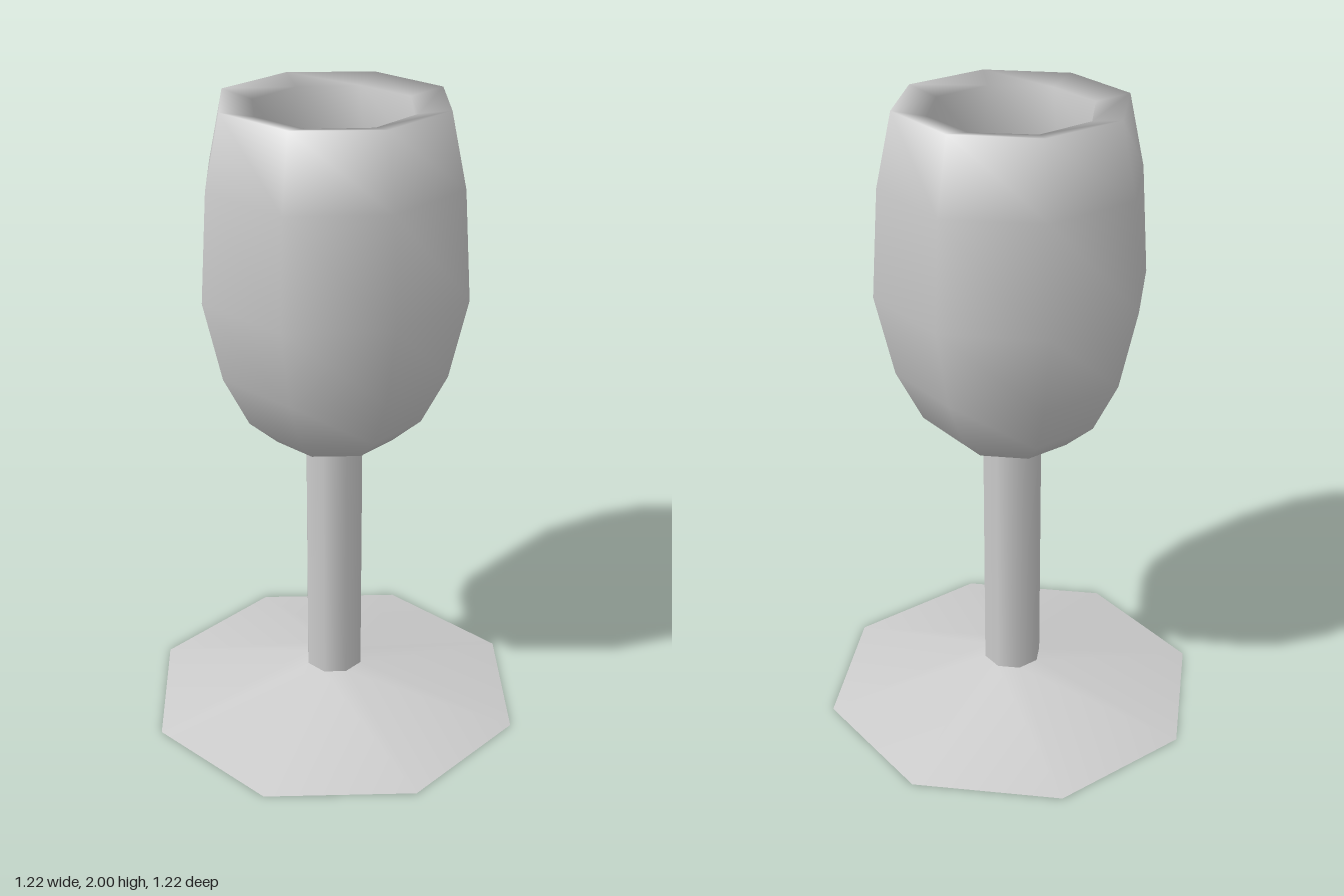
import * as THREE from 'three';

const SIDES = 8;

export function createModel() {
  const model = new THREE.Group();
  const grey = new THREE.MeshStandardMaterial({ color: 0xcccccc });
  grey.name = 'grey';

  const add = (name, geometry) => {
    const mesh = new THREE.Mesh(geometry, grey);
    mesh.name = name;
    model.add(mesh);
  };
  const lathe = (points) =>
    new THREE.LatheGeometry(points.map(([r, y]) => new THREE.Vector2(r, y)), SIDES);

  // Foot: shallow octagonal cone with a flat underside
  add('foot', lathe([[0.61, 0], [0.093, 0.12]]));
  add('footUnderside', new THREE.CircleGeometry(0.61, SIDES).rotateX(Math.PI / 2));

  // Stem
  add('stem', lathe([[0.093, 0.12], [0.093, 0.95]]));

  // Bowl: outer wall up to the rim, then over the lip and down the hollow
  const outer = [
    [0, 0.935], [0.09, 0.936], [0.19, 0.96], [0.28, 1.04],
    [0.36, 1.2], [0.417, 1.45], [0.395, 1.78], [0.347, 2],
  ];
  const inner = [
    [0.248, 1.98], [0.3, 1.76], [0.32, 1.47], [0.27, 1.25],
    [0.2, 1.12], [0.1, 1.05], [0, 1.03],
  ];
  const profile = [...outer, ...inner];
  const bowl = lathe(profile);

  // The hollow is turned slightly against the outer wall
  const position = bowl.attributes.position;
  const axis = new THREE.Vector3(0, 1, 0);
  const v = new THREE.Vector3();
  for (let i = 0; i < position.count; i++) {
    if (i % profile.length < outer.length) continue;
    v.fromBufferAttribute(position, i).applyAxisAngle(axis, 0.04);
    position.setXYZ(i, v.x, v.y, v.z);
  }
  add('bowl', bowl);

  return model;
}
